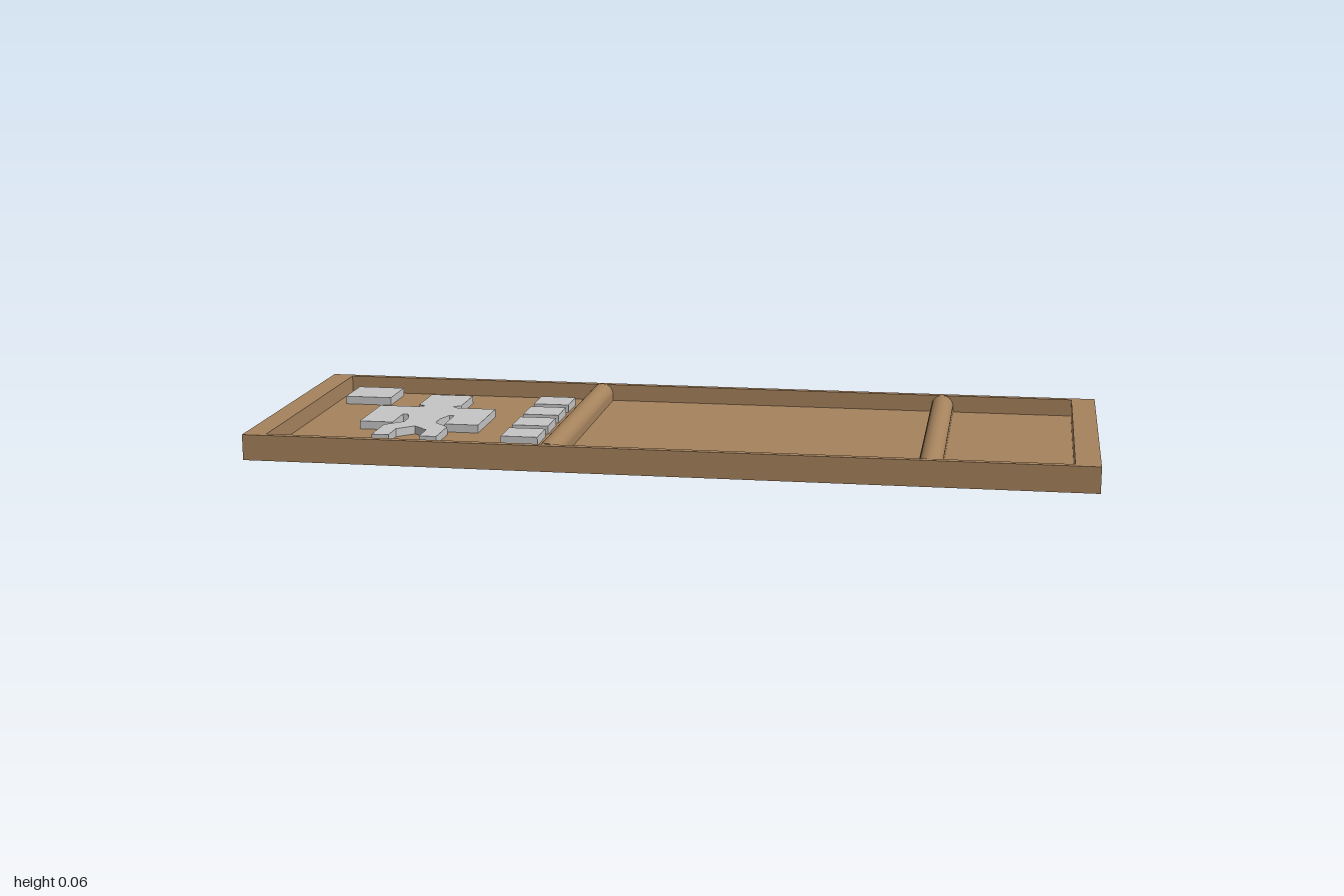
import * as THREE from 'three';

export function createModel() {
  const wood = new THREE.MeshStandardMaterial({ color: 0xa6835d });
  wood.name = 'wood';
  const grey = new THREE.MeshStandardMaterial({ color: 0xc6c6c6 });
  grey.name = 'light grey';

  const model = new THREE.Group();
  model.name = 'sortingTray';
  const FLOOR = 0.02, RIM = 0.062, TILE = 0.02;
  const HALF_Z = 0.355, INNER_Z = 0.338;

  const add = (name, geometry, material) => {
    const mesh = new THREE.Mesh(geometry, material);
    mesh.name = name;
    model.add(mesh);
    return mesh;
  };
  const rect = (Type, x0, x1, z0, z1) => new Type([
    [x0, z0], [x1, z0], [x1, z1], [x0, z1],
  ].map(([x, z]) => new THREE.Vector2(x, z)));
  // Extrudes a plan drawn in (x, -z) upward from y
  const slab = (shape, y, height) =>
    new THREE.ExtrudeGeometry(shape, { depth: height, bevelEnabled: false })
      .rotateX(-Math.PI / 2).translate(0, y, 0);

  // Base and the surrounding rim
  add('floor', slab(rect(THREE.Shape, -1, 1, -HALF_Z, HALF_Z), 0, FLOOR), wood);
  const rim = rect(THREE.Shape, -1, 1, -HALF_Z, HALF_Z);
  rim.holes.push(rect(THREE.Path, -0.945, 0.942, -INNER_Z, INNER_Z));
  add('rim', slab(rim, FLOOR, RIM - FLOOR), wood);

  // Round-topped dividers
  const r = 0.0275;
  for (const [name, x, top] of [['rightDivider', -0.267, 0.064], ['leftDivider', 0.617, 0.062]]) {
    const arch = new THREE.Shape();
    arch.moveTo(-r, FLOOR);
    arch.lineTo(r, FLOOR);
    arch.lineTo(r, top - r);
    arch.absarc(0, top - r, r, 0, Math.PI, false);
    const geometry = new THREE.ExtrudeGeometry(arch, {
      depth: 2 * INNER_Z, bevelEnabled: false, curveSegments: 16,
    });
    add(name, geometry.translate(x, 0, -INNER_Z), wood);
  }

  // Square tiles: one large, four small in a column
  const tile = (name, x, z, size) =>
    add(name, new THREE.BoxGeometry(size, TILE, size), grey)
      .position.set(x, FLOOR + TILE / 2, z);
  tile('largeTile', -0.857, -0.25, 0.12);
  for (let i = 0; i < 4; i++) tile('smallTile', -0.37, -0.222 + i * 0.12, 0.09);

  // Figure-shaped tile: half outline (offset from axis, z), mirrored
  const half = [
    [0.055, -0.245], [0.055, -0.125], [0.037, -0.112], [0.052, -0.1],
    [0.15, -0.1], [0.15, 0.08], [0.066, 0.08], [0.066, -0.013],
    [0.053, -0.013], [0.04, 0.03], [0.04, 0.068], [0.08, 0.108],
    [0.08, 0.213], [0.038, 0.213], [0.038, 0.148], [0, 0.112],
  ];
  const mirrored = half.slice(0, -1).reverse().map(([x, z]) => [-x, z]);
  const outline = [...half, ...mirrored].map(([x, z]) => new THREE.Vector2(x - 0.647, -z));
  add('figureTile', slab(new THREE.Shape(outline), FLOOR, TILE), grey);

  return model;
}
